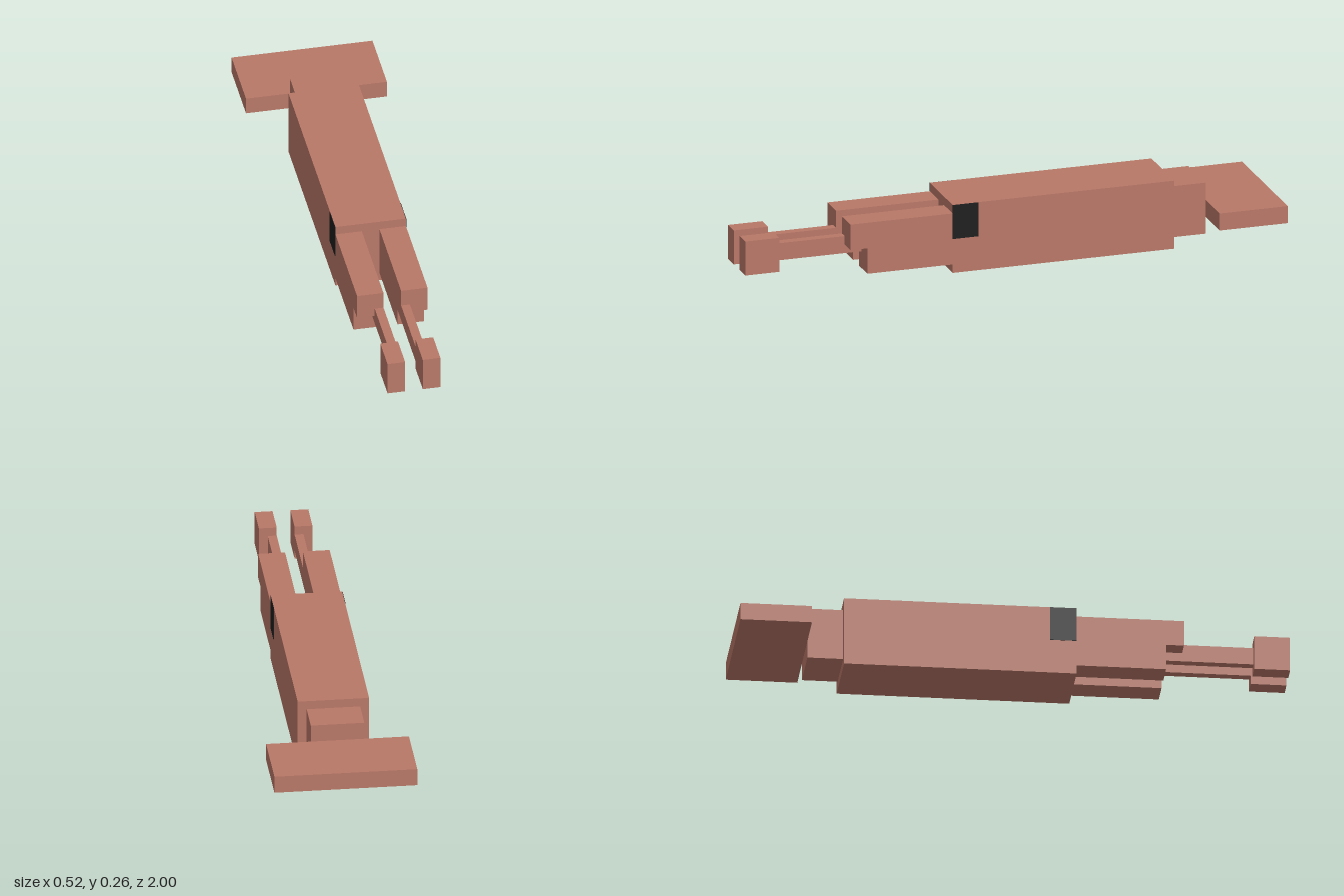
import * as THREE from 'three';

const U = 1 / 31; // block unit: the model is 62 units long

export function createModel() {
  const group = new THREE.Group();
  const skin = new THREE.MeshStandardMaterial({ color: 0xb87868 });
  skin.name = 'terracotta';
  const black = new THREE.MeshStandardMaterial({ color: 0x1e1e1e });
  black.name = 'black';

  // Box given by its minimum and maximum corners in block units
  function block(name, min, max, material = skin) {
    const size = max.map((v, i) => (v - min[i]) * U);
    const mesh = new THREE.Mesh(new THREE.BoxGeometry(...size), material);
    mesh.position.set(...max.map((v, i) => ((v + min[i]) / 2) * U));
    mesh.name = name;
    group.add(mesh);
  }

  // Same box on both sides of the middle
  function pair(name, min, max, material) {
    block(name + 'Left', min, max, material);
    block(name + 'Right', [-max[0], min[1], min[2]], [-min[0], max[1], max[2]], material);
  }

  // Body and tail
  block('body', [-4, 0, -19], [4, 8, 7]);
  block('tailBase', [-3, 1, -23], [3, 7, -19]);
  block('tailFin', [-8, 3, -31], [8, 5, -23]);

  // Stepped front arms
  pair('upperArm', [1, 4, 7], [4, 7, 19]);
  pair('lowerArm', [1, 1, 7], [4, 4, 17]);

  // Thin rods ending in claws
  pair('rod', [1, 3, 17], [2, 5, 27]);
  pair('claw', [1, 2, 27], [3, 6, 31]);

  // Eye plates on the sides of the body
  pair('eye', [3.95, 4, 4], [4.05, 7.99, 6.99], black);

  return group;
}
